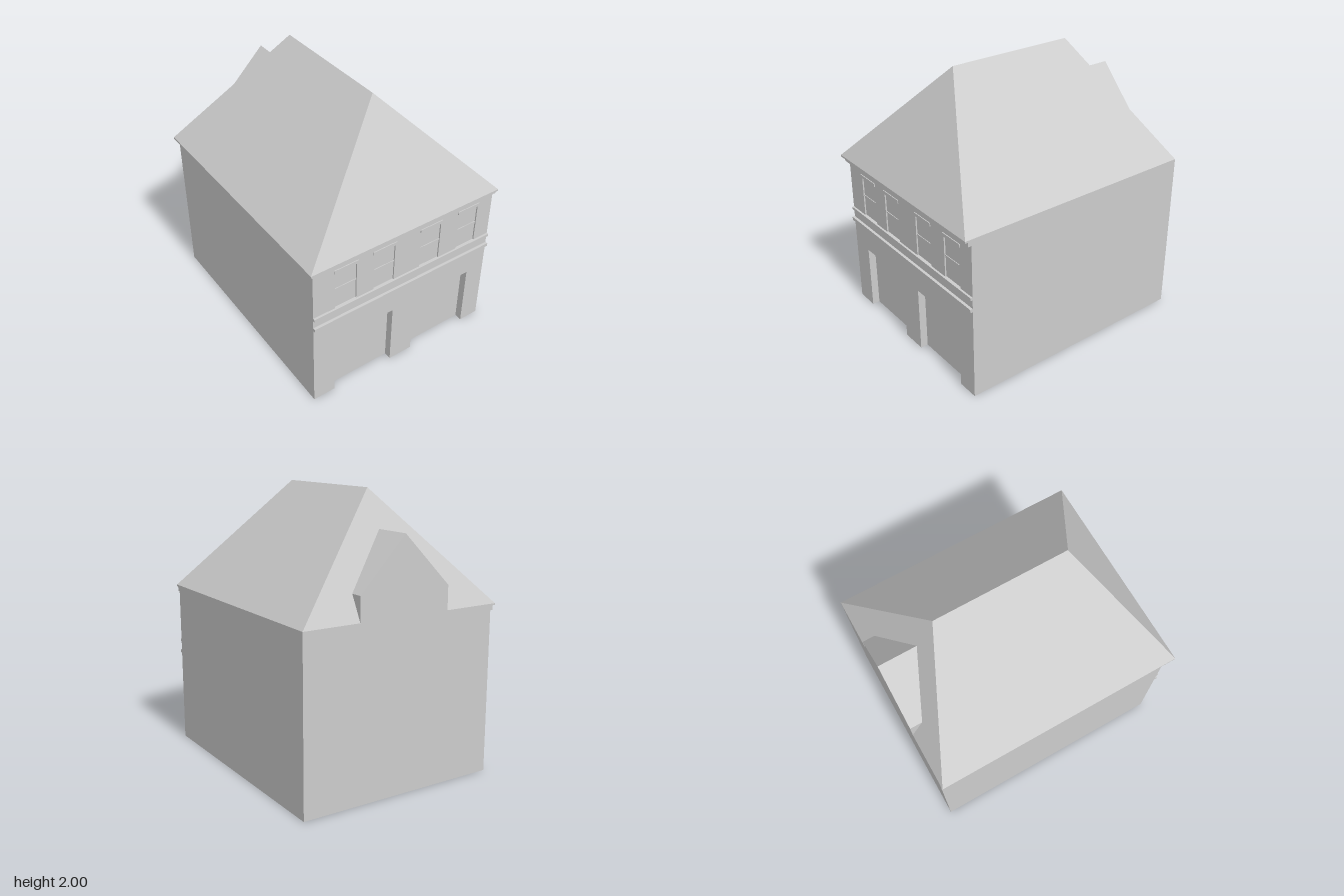
import * as THREE from 'three';

export function createModel() {
  const house = new THREE.Group();
  house.name = 'house';
  const plaster = new THREE.MeshStandardMaterial({ color: 0xcccccc });
  plaster.name = 'pale grey plaster';

  const add = (name, geometry) => {
    const mesh = new THREE.Mesh(geometry, plaster);
    mesh.name = name;
    house.add(mesh);
    return mesh;
  };
  // Box given by its extents along each axis
  const block = (name, x0, x1, y0, y1, z0, z1) => {
    const mesh = add(name, new THREE.BoxGeometry(x1 - x0, y1 - y0, z1 - z0));
    mesh.position.set((x0 + x1) / 2, (y0 + y1) / 2, (z0 + z1) / 2);
  };
  const polygon = (points) => new THREE.Shape(points.map(([x, y]) => new THREE.Vector2(x, y)));

  const L = -0.73, R = 0.77, FRONT = 0.88, BACK = -0.92, TOP = 1.2, RECESS = 0.825;
  const doors = [[-0.56, -0.07], [0.12, 0.615]];
  const windows = [-0.475, -0.165, 0.225, 0.555];
  const half = 0.085;

  // Main body behind the front wall; its face closes the door recesses
  block('body', L, R, 0, TOP, BACK, RECESS);

  // Front wall with door notches and window openings
  const outline = [[L, 0]];
  for (const [a, b] of doors) outline.push([a, 0], [a, 0.49], [b, 0.49], [b, 0]);
  outline.push([R, 0], [R, TOP], [L, TOP]);
  const wall = polygon(outline);
  for (const x of windows) {
    wall.holes.push(polygon([[x - half, 0.79], [x - half, 1.09], [x + half, 1.09], [x + half, 0.79]]));
  }
  add('frontWall', new THREE.ExtrudeGeometry(wall, { depth: FRONT - RECESS, bevelEnabled: false }))
    .position.z = RECESS;

  // Shallow window panes, transoms and lintels
  for (const x of windows) {
    block('windowPane', x - half, x + half, 0.79, 1.09, RECESS, FRONT - 0.01);
    block('windowTransom', x - half, x + half, 0.945, 0.955, FRONT - 0.01, FRONT - 0.005);
    block('windowLintel', x - half - 0.01, x + half + 0.01, 1.095, 1.12, FRONT - 0.005, FRONT + 0.006);
  }

  // String courses across the front
  block('lowerBand', L, R, 0.68, 0.705, FRONT - 0.01, 0.9);
  block('upperBand', L, R, 0.77, 0.79, FRONT - 0.01, 0.895);

  // Stepped cornice, overhanging the front and the right side
  block('cornice', -0.75, R, 1.165, 1.197, BACK, 0.905);
  block('eaves', -0.77, R, 1.197, 1.21, BACK, 0.925);

  // Hipped roof
  const a = [-0.77, 1.21, 0.925], b = [R, 1.21, 0.925], c = [R, 1.21, BACK], d = [-0.77, 1.21, BACK];
  const ridgeFront = [0.015, 2, 0.46], ridgeBack = [0.015, 2, -0.505];
  const faces = [
    [a, b, ridgeFront],
    [b, c, ridgeBack], [b, ridgeBack, ridgeFront],
    [c, d, ridgeBack],
    [d, a, ridgeFront], [d, ridgeFront, ridgeBack],
    [a, d, c], [a, c, b],
  ];
  const roof = new THREE.BufferGeometry();
  roof.setAttribute('position', new THREE.Float32BufferAttribute(faces.flat(2), 3));
  roof.computeVertexNormals();
  add('roof', roof);

  // Gabled dormer flush with the back wall
  const gable = polygon([[-0.345, 1.21], [0.355, 1.21], [0.355, 1.38], [0.015, 1.74], [-0.345, 1.38]]);
  add('backDormer', new THREE.ExtrudeGeometry(gable, { depth: 0.3, bevelEnabled: false }))
    .position.z = BACK;

  return house;
}
